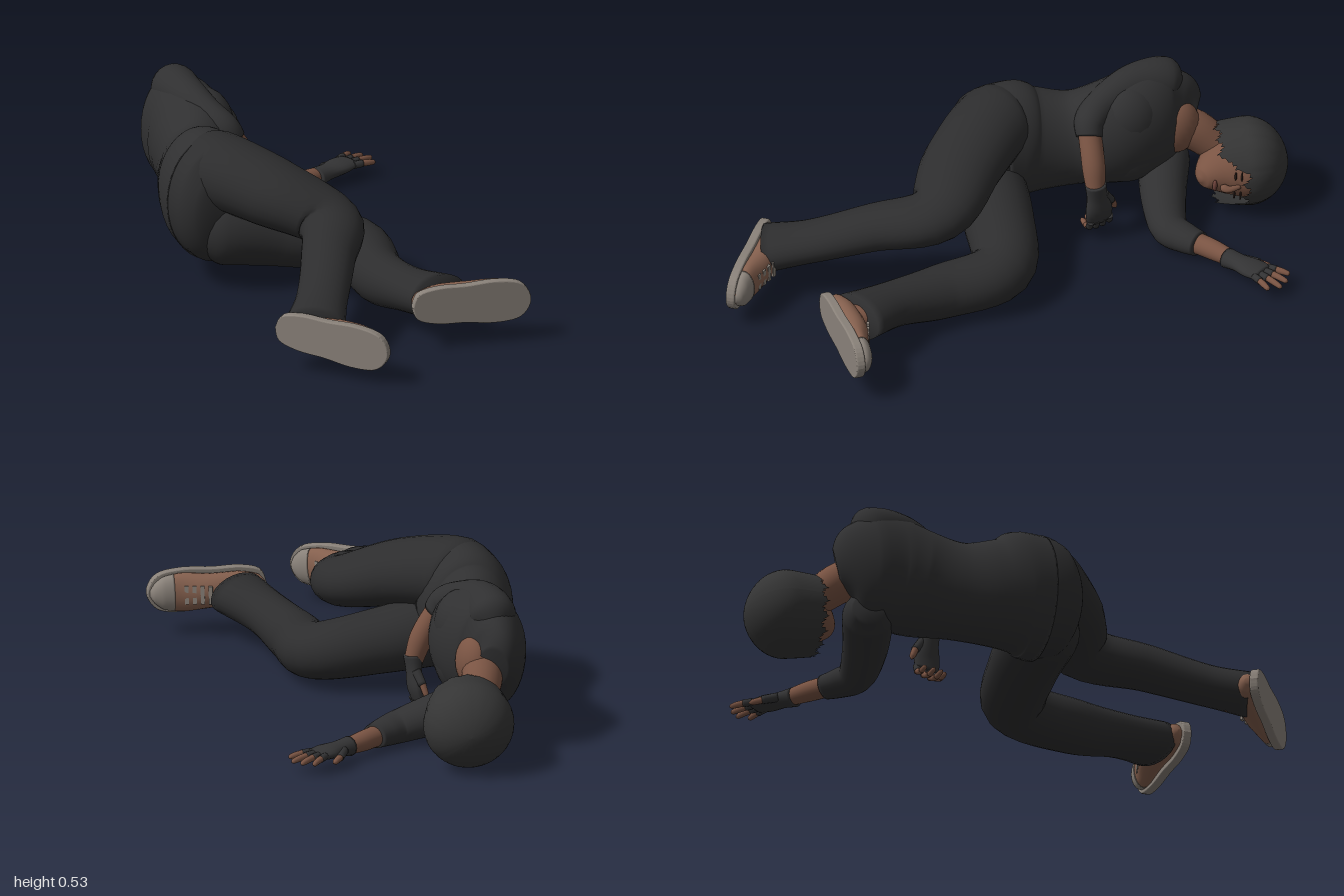
import * as THREE from 'three';

const mat = (name, color, side = THREE.FrontSide) => {
  const m = new THREE.MeshStandardMaterial({ color, side });
  m.name = name;
  return m;
};
const V = (a) => new THREE.Vector3(a[0], a[1], a[2]);

export function createModel() {
  const root = new THREE.Group();
  root.name = 'lyingFigure';
  const shirt = mat('shirt', 0x303031), pants = mat('trousers', 0x2d2d2e);
  const hairM = mat('hair', 0x353535, THREE.DoubleSide), glove = mat('glove', 0x333334);
  const skin = mat('skin', 0x7a5443), shoe = mat('shoeBrown', 0x85604e);
  const sole = mat('solePale', 0x898179), dark = mat('eyeDark', 0x2c201c), lip = mat('lips', 0x6a4038);

  const add = (parent, geo, m, name) => {
    const mesh = new THREE.Mesh(geo, m);
    mesh.name = name;
    parent.add(mesh);
    return mesh;
  };

  // Smooth loft through rows [x, y, z, radius along ref, radius across]
  function loft(rows, ref, sides = 24, steps = 6) {
    const path = new THREE.CatmullRomCurve3(rows.map(V));
    const size = new THREE.CatmullRomCurve3(rows.map((r) => new THREE.Vector3(r[3], r[4] ?? r[3], 0)));
    const n = (rows.length - 1) * steps, pos = [], idx = [], up = V(ref);
    for (let i = 0; i <= n; i++) {
      const c = path.getPoint(i / n), s = size.getPoint(i / n), T = path.getTangent(i / n);
      const B = new THREE.Vector3().crossVectors(T, up).normalize();
      const A = new THREE.Vector3().crossVectors(B, T);
      for (let j = 0; j < sides; j++) {
        const t = (j / sides) * Math.PI * 2;
        const p = c.clone().addScaledVector(A, s.x * Math.cos(t)).addScaledVector(B, s.y * Math.sin(t));
        pos.push(p.x, p.y, p.z);
        if (i < n) {
          const a = i * sides + j, b = i * sides + (j + 1) % sides;
          idx.push(a, b, a + sides, b, b + sides, a + sides);
        }
      }
    }
    // end caps
    const k = pos.length / 3, last = n * sides;
    pos.push(...rows[0].slice(0, 3), ...rows[rows.length - 1].slice(0, 3));
    for (let j = 0; j < sides; j++) {
      const q = (j + 1) % sides;
      idx.push(k, q, j, k + 1, last + j, last + q);
    }
    const g = new THREE.BufferGeometry();
    g.setAttribute('position', new THREE.Float32BufferAttribute(pos, 3));
    g.setIndex(idx);
    g.computeVertexNormals();
    return g;
  }
  const ball = (parent, p, r, m, name) => {
    const b = add(parent, new THREE.SphereGeometry(1, 24, 16), m, name);
    b.position.copy(V(p));
    b.scale.copy(V(r));
    return b;
  };
  // Group placed with its own up and forward directions
  const framed = (name, p, up, fwd) => {
    const g = new THREE.Group(), z = V(fwd).normalize();
    const x = new THREE.Vector3().crossVectors(V(up), z).normalize();
    g.quaternion.setFromRotationMatrix(new THREE.Matrix4().makeBasis(x, new THREE.Vector3().crossVectors(z, x), z));
    g.position.copy(V(p));
    g.name = name;
    root.add(g);
    return g;
  };
  const X = [1, 0, 0], Y = [0, 1, 0];

  // Torso and pelvis
  add(root, loft([
    [-0.21, 0.30, -0.74, 0.05, 0.07], [-0.235, 0.31, -0.70, 0.085, 0.14], [-0.245, 0.312, -0.64, 0.115, 0.19],
    [-0.236, 0.312, -0.55, 0.137, 0.2], [-0.24, 0.30, -0.45, 0.146, 0.187], [-0.288, 0.28, -0.32, 0.124, 0.17],
    [-0.322, 0.285, -0.2, 0.138, 0.188], [-0.33, 0.295, -0.13, 0.153, 0.217], [-0.331, 0.295, -0.06, 0.154, 0.219]],
  X, 36), shirt, 'shirt');
  for (const y of [0.255, 0.365]) ball(root, [-0.195, y, -0.49], [0.096, 0.125, 0.12], shirt, 'bust');
  add(root, loft([
    [-0.322, 0.285, -0.16, 0.13, 0.19], [-0.331, 0.295, -0.07, 0.152, 0.217], [-0.331, 0.29, 0, 0.147, 0.2],
    [-0.325, 0.29, 0.04, 0.105, 0.14], [-0.32, 0.29, 0.06, 0.01, 0.02]], X, 36), pants, 'pelvis');

  // Legs
  add(root, loft([
    [-0.35, 0.38, -0.16, 0.05], [-0.318, 0.395, -0.07, 0.125, 0.135], [-0.185, 0.36, 0.11, 0.112, 0.135],
    [-0.045, 0.295, 0.27, 0.086, 0.112], [-0.118, 0.25, 0.46, 0.075, 0.09], [-0.208, 0.19, 0.64, 0.066, 0.086],
    [-0.284, 0.152, 0.772, 0.07, 0.104]], Y), pants, 'rightLeg');
  add(root, loft([
    [-0.4, 0.2, -0.05, 0.07], [-0.3, 0.2, -0.02, 0.125], [-0.1, 0.165, 0.02, 0.11, 0.118],
    [0.108, 0.122, 0.105, 0.095, 0.106], [0.113, 0.1, 0.32, 0.092, 0.09], [0.142, 0.122, 0.5, 0.075, 0.082],
    [0.197, 0.15, 0.665, 0.072, 0.107]], Y), pants, 'leftLeg');

  // Arms: sleeve then bare forearm
  add(root, loft([
    [-0.24, 0.41, -0.69, 0.03], [-0.245, 0.44, -0.635, 0.08, 0.085], [-0.245, 0.457, -0.53, 0.068, 0.07],
    [-0.215, 0.432, -0.41, 0.055, 0.06], [-0.18, 0.405, -0.345, 0.052], [-0.15, 0.365, -0.33, 0.043]], X), shirt, 'rightSleeve');
  add(root, loft([[-0.165, 0.39, -0.335, 0.038], [-0.108, 0.29, -0.325, 0.039], [-0.078, 0.2, -0.32, 0.031]], X), skin, 'rightForearm');
  add(root, loft([
    [-0.28, 0.15, -0.66, 0.05], [-0.22, 0.15, -0.63, 0.085], [-0.08, 0.1, -0.565, 0.07, 0.075],
    [0.04, 0.06, -0.535, 0.056, 0.062], [0.1, 0.055, -0.56, 0.048, 0.055], [0.15, 0.053, -0.59, 0.04, 0.046]], Y), shirt, 'leftSleeve');
  add(root, loft([[0.13, 0.053, -0.58, 0.036], [0.2, 0.052, -0.62, 0.034], [0.28, 0.05, -0.66, 0.026]], Y), skin, 'leftForearm');

  // Hands: z towards the fingertips, x across the palm
  function hand(name, p, up, fwd, curl) {
    const h = framed(name, p, up, fwd);
    add(h, loft([[0, 0, -0.02, 0.033, 0.036], [0, 0, 0.03, 0.026, 0.036], [0, 0, 0.09, 0.022, 0.048],
      [0, -curl * 0.01, 0.135, 0.016, 0.044]], Y, 16), glove, 'glove');
    for (let i = 0; i < 4; i++) {
      const x = (i - 1.5) * 0.023, l = [0.08, 0.104, 0.098, 0.077][i], spread = 0.7 * (1 - curl);
      const at = (t, r) => {
        const bend = 2.6 * curl * t + 0.01;
        return [x * (1 + t * spread), -l * t * Math.sin(bend * 0.5), 0.125 + l * t * Math.cos(bend * 0.5), r];
      };
      add(h, loft([at(0, 0.0125), at(0.4, 0.0125)], Y, 10), glove, 'gloveFinger');
      add(h, loft([at(0.35, 0.011), at(0.7, 0.0105), at(0.94, 0.008), at(1, 0.002)], Y, 10), skin, 'finger');
    }
    add(h, loft([[0.025, 0, 0.03, 0.016], [0.052, -0.01, 0.075, 0.014]], Y, 10), glove, 'gloveThumb');
    add(h, loft([[0.05, -0.01, 0.07, 0.012], [0.062, -0.016, 0.105, 0.01], [0.065, -0.018, 0.118, 0.002]], Y, 10), skin, 'thumb');
  }
  hand('leftHand', [0.272, 0.05, -0.652], [0, 1, 0], [0.87, 0.05, -0.43], 0.1);
  hand('rightHand', [-0.078, 0.205, -0.322], [1, 0.1, 0], [-0.02, -1, -0.12], 0.9);

  // Neck and open neckline
  add(root, loft([[-0.21, 0.3, -0.62, 0.06], [-0.185, 0.27, -0.71, 0.068], [-0.14, 0.2, -0.8, 0.058], [-0.1, 0.17, -0.87, 0.055]], X), skin, 'neck');
  ball(root, [-0.178, 0.298, -0.655], [0.063, 0.095, 0.082], skin, 'neckline');

  // Head
  const head = framed('head', [-0.085, 0.16, -0.865], [0.25, -0.04, -0.97], [0.95, -0.18, 0.25]);
  add(head, loft([[0, -0.168, 0.075, 0.008], [0, -0.158, 0.068, 0.036, 0.035], [0, -0.1, 0.035, 0.09, 0.08],
    [0, -0.03, 0.01, 0.122, 0.104], [0, 0.06, 0, 0.115, 0.1], [0, 0.11, 0, 0.03]], [0, 0, 1]), skin, 'face');
  add(head, loft([[0, -0.04, 0.12, 0.007], [0, -0.08, 0.128, 0.013, 0.011], [0, -0.094, 0.121, 0.013, 0.015],
    [0, -0.101, 0.11, 0.004]], [0, 0, 1], 12), skin, 'nose');
  ball(head, [0, -0.122, 0.107], [0.023, 0.008, 0.011], lip, 'mouth');
  for (const s of [-1, 1]) {
    ball(head, [s * 0.042, -0.056, 0.113], [0.017, 0.004, 0.008], dark, 'eye');
    ball(head, [s * 0.043, -0.036, 0.118], [0.021, 0.003, 0.007], dark, 'eyebrow');
  }

  // Bobbed hair: dome with a short fringe and jagged lower edge
  const hair = new THREE.SphereGeometry(1, 64, 20), hp = hair.attributes.position;
  for (let r = 0; r <= 20; r++) for (let c = 0; c <= 64; c++) {
    const a = (c / 64) * Math.PI * 2 - Math.PI, back = THREE.MathUtils.smoothstep(Math.abs(a), 0.45, 0.95);
    const end = 1.68 + 0.72 * back + [0, 0.08, 0.22, 0.05][c % 4];
    const p = (r / 20) * end, over = Math.max(0, p - Math.PI / 2);
    const rad = over ? 1 - 0.1 * over : Math.sin(p);
    hp.setXYZ(r * 65 + c, 0.146 * rad ** 1.12 * Math.sin(a), 0.137 * Math.cos(p), 0.15 * rad * Math.cos(a));
  }
  hair.computeVertexNormals();
  add(head, hair, hairM, 'hair');

  // Shoes: z towards the toe, sole on y = 0
  const outline = new THREE.Shape(new THREE.SplineCurve([
    [0, -0.196], [0.042, -0.178], [0.06, -0.11], [0.062, -0.02], [0.07, 0.08], [0.056, 0.165], [0, 0.198],
    [-0.056, 0.165], [-0.07, 0.08], [-0.062, -0.02], [-0.06, -0.11], [-0.042, -0.178], [0, -0.196],
  ].map(([x, y]) => new THREE.Vector2(x, y))).getPoints(60));
  function makeShoe(name, p, up, fwd) {
    const s = framed(name, p, up, fwd);
    const g = new THREE.ExtrudeGeometry(outline, { depth: 0.018, bevelSize: 0.004, bevelThickness: 0.006, bevelSegments: 3 });
    add(s, g.rotateX(Math.PI / 2).translate(0, 0.024, 0), sole, 'sole');
    add(s, loft([[0, 0.035, -0.188, 0.012, 0.01], [0, 0.042, -0.172, 0.032, 0.036], [0, 0.052, -0.1, 0.046, 0.056],
      [0, 0.054, 0, 0.048, 0.058], [0, 0.042, 0.09, 0.036, 0.066], [0, 0.036, 0.155, 0.027, 0.052],
      [0, 0.028, 0.188, 0.01, 0.02]], Y), shoe, 'shoeUpper');
    add(s, loft([[0, 0.04, 0.115, 0.034, 0.064], [0, 0.037, 0.15, 0.031, 0.056], [0, 0.032, 0.178, 0.022, 0.034],
      [0, 0.028, 0.193, 0.006, 0.01]], Y), sole, 'toeCap');
    for (let i = 0; i < 4; i++) {
      const lace = add(s, new THREE.BoxGeometry(0.062, 0.009, 0.013), sole, 'lace');
      lace.position.set(0, 0.102 - i * 0.0085, 0.005 + i * 0.025);
      lace.rotation.x = 0.33;
    }
    add(s, loft([[0, 0.07, -0.08, 0.045, 0.04], [0, 0.14, -0.08, 0.042, 0.038]], [0, 0, 1]), skin, 'ankle');
  }
  makeShoe('rightShoe', [-0.26, 0.135, 0.862], [0.65, 0, -0.72], [0.29, -0.04, 0.265]);
  makeShoe('leftShoe', [0.272, 0.152, 0.765], [0.1, 0, -0.98], [0.385, -0.01, 0.04]);

  return root;
}
